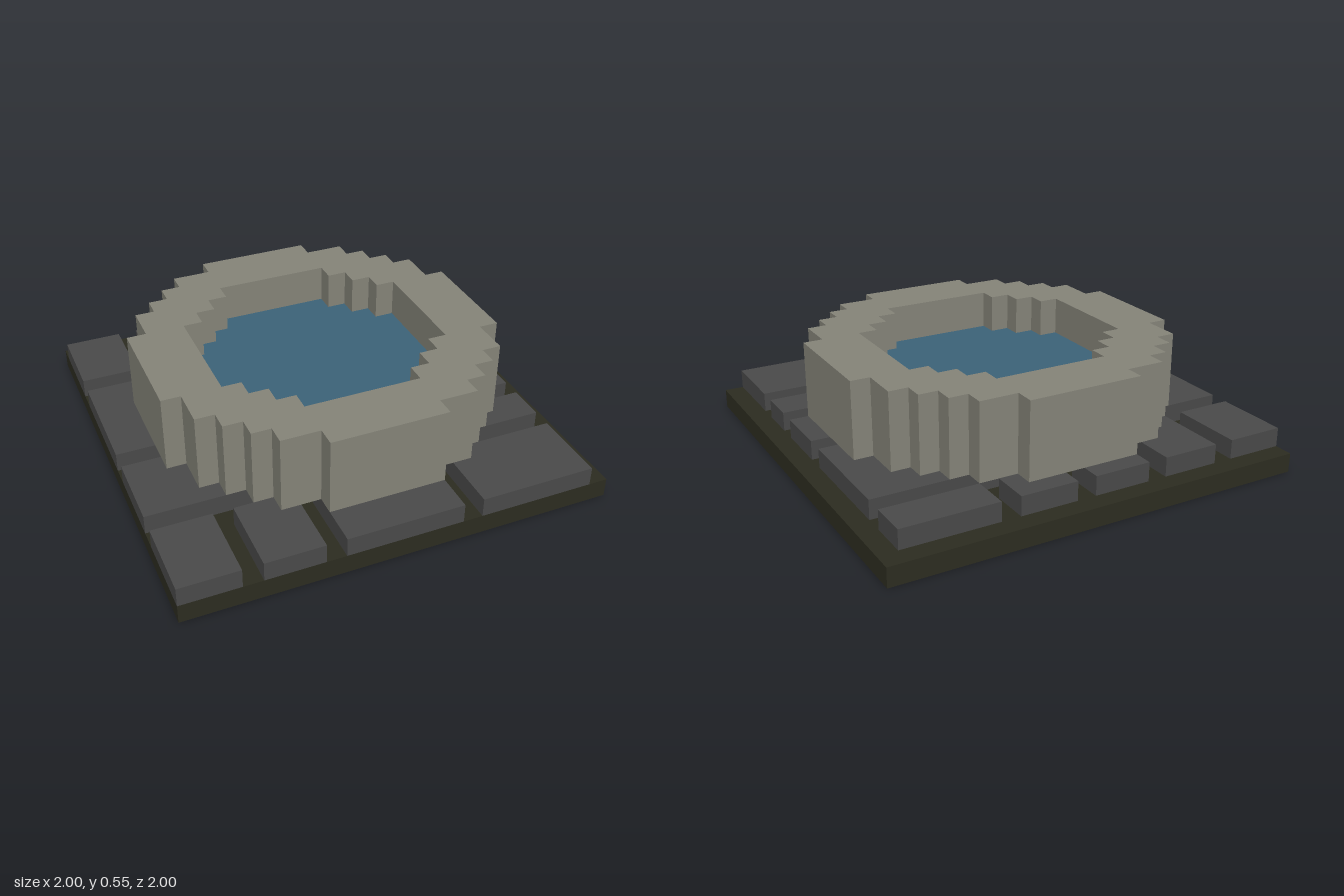
import * as THREE from 'three';

const U = 1 / 11; // one block

// half width of the basin opening and of the rim for a one-block row starting at z
const half = (steps, z) => steps[z < 0 ? -z - 1 : z] ?? 0;
const INNER = [6, 6, 6, 5, 4, 3];
const OUTER = [9, 9, 9, 8, 8, 7, 6, 5, 3];

// stepped outline from rows of [z, xLeft, xRight], each one block deep
function outline(rows) {
  const right = [], left = [];
  rows.forEach(([z, a, b], i) => {
    const prev = rows[i - 1], next = rows[i + 1];
    if (!prev || prev[2] !== b) right.push([b, z]);
    if (!next || next[2] !== b) right.push([b, z + 1]);
    if (!prev || prev[1] !== a) left.push([a, z]);
    if (!next || next[1] !== a) left.push([a, z + 1]);
  });
  return [...right, ...left.reverse()].map(([x, z]) => new THREE.Vector2(x * U, z * U));
}

function roundOutline(steps) {
  const rows = [];
  for (let z = -steps.length; z < steps.length; z++) {
    const h = half(steps, z);
    rows.push([z, -h, h]);
  }
  return outline(rows);
}

export function createModel() {
  const group = new THREE.Group();
  const material = (name, color) => {
    const m = new THREE.MeshStandardMaterial({ color });
    m.name = name;
    return m;
  };
  const earth = material('dark earth', 0x2c2c20);
  const paving = material('dark grey paving', 0x494949);
  const stone = material('pale stone', 0x848378);
  const blue = material('water blue', 0x3c6278);

  // flat slab between block heights y0 and y1
  function slab(name, points, hole, y0, y1, mat, parent = group) {
    const shape = new THREE.Shape(points);
    if (hole) shape.holes.push(new THREE.Path(hole));
    const geo = new THREE.ExtrudeGeometry(shape, { depth: (y1 - y0) * U, bevelEnabled: false });
    geo.rotateX(Math.PI / 2).translate(0, y1 * U, 0);
    const mesh = new THREE.Mesh(geo, mat);
    mesh.name = name;
    parent.add(mesh);
  }

  const opening = roundOutline(INNER);
  const square = [[-1, -1], [1, -1], [1, 1], [-1, 1]].map(p => new THREE.Vector2(...p));

  // ground plate, basin wall and water
  slab('groundPlate', square, opening, 0, 1, earth);
  slab('basinWall', roundOutline(OUTER), opening, 2, 6, stone);
  slab('water', opening, null, 3, 4, blue);

  // paving stones [x0, x1, z0, z1], cut back around the opening
  const stones = new THREE.Group();
  stones.name = 'pavingStones';
  group.add(stones);
  [
    // back row
    [-11, -8, -10, -6], [-7, -4, -10, -6], [-3, 0, -10, -8], [1, 4, -10, -8], [5, 10, -10, -8],
    // left-hand column in plan
    [-11, -4, -5, 1], [-11, -4, 2, 6],
    // right-hand column in plan
    [-3, 10, -7, -1], [-3, 10, 0, 3], [-3, 10, 4, 6],
    // front row
    [-11, -8, 7, 11], [-7, -4, 7, 11], [-3, 3, 7, 11], [4, 10, 7, 11],
  ].forEach(([x0, x1, z0, z1]) => {
    const rows = [];
    for (let z = z0; z < z1; z++) {
      const h = half(INNER, z);
      if (!h) rows.push([z, x0, x1]);
      else if (x0 < -6) rows.push([z, x0, Math.min(x1, -h)]);
      else rows.push([z, Math.max(x0, h), x1]);
    }
    slab('pavingStone', outline(rows), null, 1, 2, paving, stones);
  });

  return group;
}
